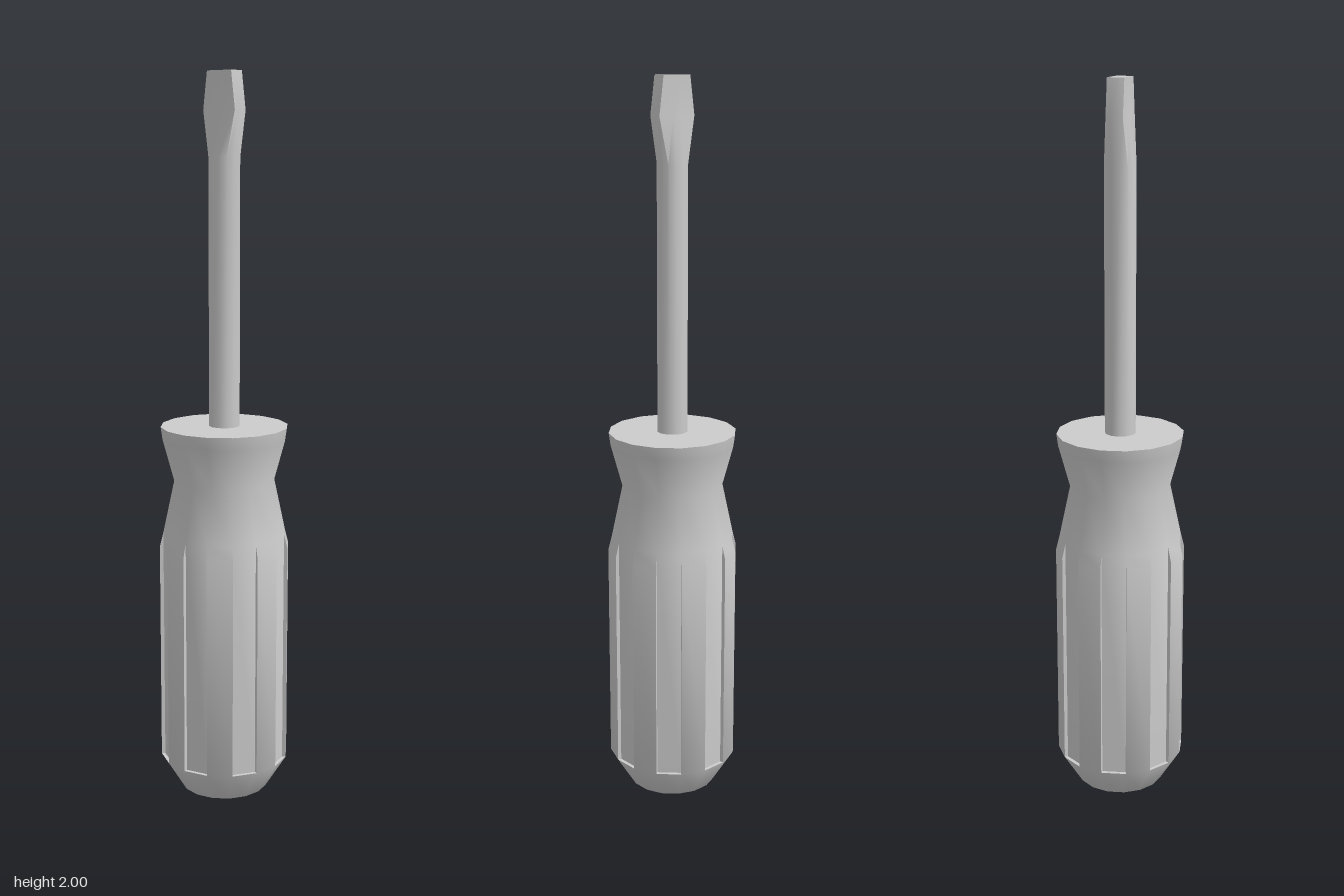
import * as THREE from 'three';
import { mergeGeometries, toCreasedNormals } from 'three/addons/utils/BufferGeometryUtils.js';

const SIDES = 16;
const STEP = (Math.PI * 2) / SIDES;
const vec = ([x, y]) => new THREE.Vector2(x, y);

// Profiles (radius, height), from the butt to the rim
const butt = [[0, 0], [0.055, 0.002], [0.122, 0.028], [0.179, 0.12]];
const rib = [[0.179, 0.12], [0.179, 0.73], [0.169, 0.77]];
const groove = [[0.179, 0.12], [0.169, 0.12], [0.169, 0.77]];
const neck = [[0.169, 0.77], [0.138, 0.915], [0.169, 1.03], [0.174, 1.065], [0, 1.065]];

// Wall between a rib and the groove beside it
function grooveWall(angle, flip) {
  const corners = [rib[0], rib[1], rib[2], groove[1]].map(vec);
  const wall = new THREE.ShapeGeometry(new THREE.Shape(corners));
  if (flip) wall.index.array.reverse();
  return wall.rotateY(angle - Math.PI / 2);
}

// Handle: one lathe sector per side, alternating groove and rib
function handleGeometry() {
  const parts = [];
  for (let i = 0; i < SIDES; i++) {
    const grooved = i % 2 === 0;
    for (const profile of [butt, grooved ? groove : rib, neck]) {
      parts.push(new THREE.LatheGeometry(profile.map(vec), 1, i * STEP, STEP));
    }
    if (grooved) parts.push(grooveWall(i * STEP, true), grooveWall((i + 1) * STEP, false));
  }
  return toCreasedNormals(mergeGeometries(parts), THREE.MathUtils.degToRad(38));
}

// Shaft: a 12-sided rod whose upper rings flatten into the blade
function shaftGeometry() {
  const r = 0.042;
  // height, blade half width, blade half thickness
  const rings = [[1.05], [1.78], [1.9, 0.054, 0.023], [2, 0.041, 0.023]];
  const geo = new THREE.CylinderGeometry(r, r, 3, 12, 3).rotateY(Math.PI / 12);
  const pos = geo.attributes.position;
  for (let i = 0; i < pos.count; i++) {
    const [y, width, thick] = rings[Math.round(pos.getY(i) + 1.5)];
    let x = pos.getX(i);
    let z = pos.getZ(i);
    if (width) {
      if (Math.abs(x) > r * 0.9) x = Math.sign(x) * width;
      else if (Math.abs(x) > r * 0.5) x = Math.sign(x) * width * 0.96;
      z = THREE.MathUtils.clamp(z, -thick, thick);
    }
    pos.setXYZ(i, x, y, z);
  }
  return toCreasedNormals(geo, THREE.MathUtils.degToRad(35));
}

export function createModel() {
  const group = new THREE.Group();
  group.name = 'screwdriver';
  const material = new THREE.MeshStandardMaterial({ color: 0xcccccc });
  const add = (name, geometry) => {
    const mesh = new THREE.Mesh(geometry, material);
    mesh.name = name;
    group.add(mesh);
  };
  add('handle', handleGeometry());
  add('shaftAndBlade', shaftGeometry());
  return group;
}
